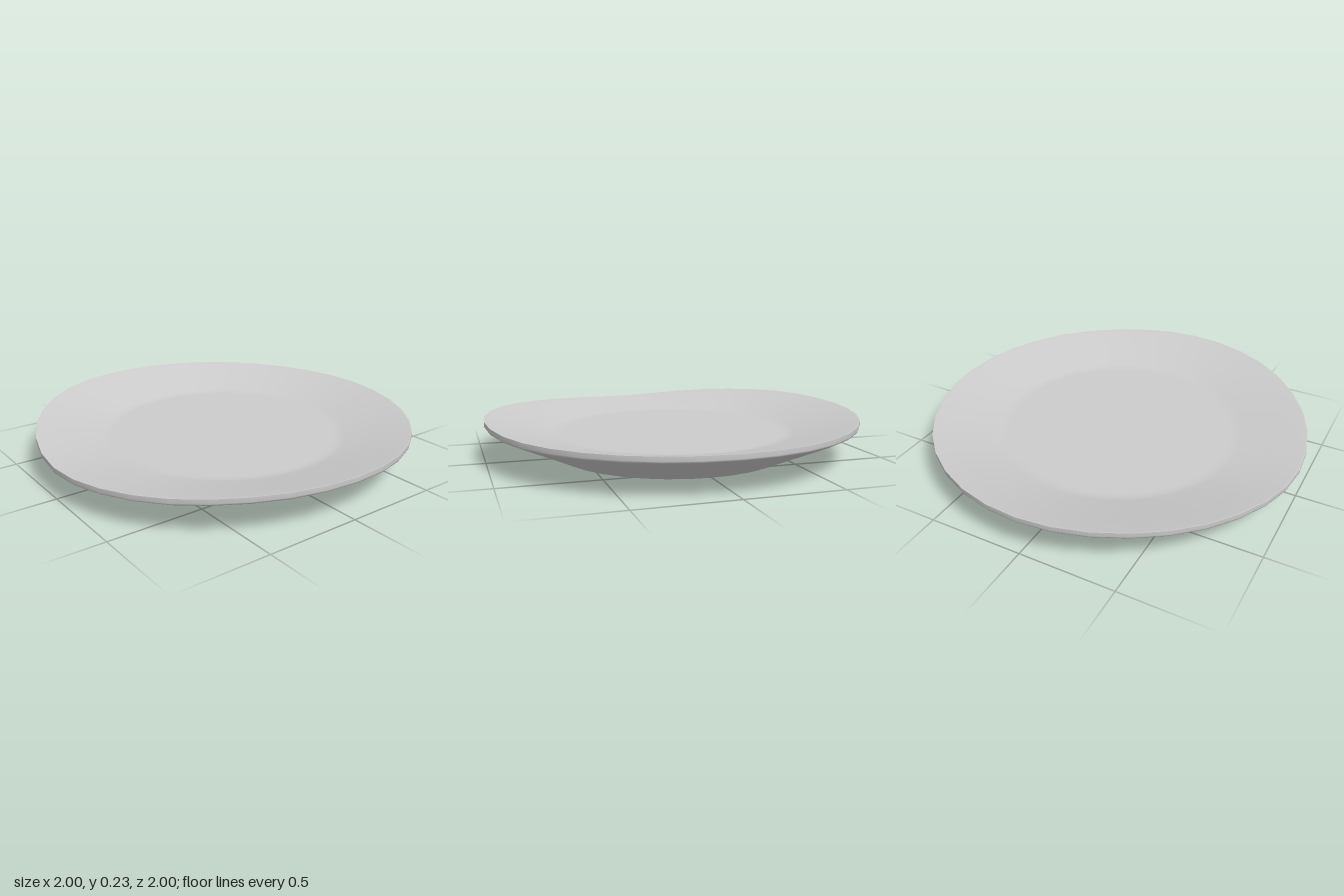
import * as THREE from 'three';
import { mergeVertices } from 'three/addons/utils/BufferGeometryUtils.js';

const SIDES = 36;
const WELL = 0.63;
const RIM = 0.2;

// Uneven rim height every 30 degrees, from +x round towards +z
const HEIGHTS = [0.2, 0.198, 0.2, 0.215, 0.211, 0.184, 0.165, 0.203, 0.226, 0.218, 0.207, 0.2];

// Smooth periodic interpolation of the rim heights
function rimHeight(x, z) {
  const n = HEIGHTS.length;
  const a = ((Math.atan2(z, x) / (2 * Math.PI) + 1) % 1) * n;
  const i = Math.floor(a), t = a - i;
  const [p, q, r, s] = [-1, 0, 1, 2].map((k) => HEIGHTS[(i + k + n) % n]);
  return q + 0.5 * t * (r - p + t * (2 * p - 5 * q + 4 * r - s + t * (3 * (q - r) + s - p)));
}

// Turned surface whose outer part follows the uneven rim
function turned(name, profile) {
  let geo = new THREE.LatheGeometry(profile.map(([r, y]) => new THREE.Vector2(r, y)), SIDES);
  const pos = geo.attributes.position;
  for (let i = 0; i < pos.count; i++) {
    const x = pos.getX(i), z = pos.getZ(i);
    const t = THREE.MathUtils.clamp((Math.hypot(x, z) - WELL) / (1 - WELL), 0, 1);
    if (t > 0) pos.setY(i, pos.getY(i) + t * (rimHeight(x, z) - RIM));
  }
  // Weld the seam so the shading stays smooth all round
  geo.deleteAttribute('normal');
  geo.deleteAttribute('uv');
  geo = mergeVertices(geo, 1e-5);
  geo.computeVertexNormals();
  const mesh = new THREE.Mesh(geo, new THREE.MeshStandardMaterial({ color: 0xcccccc }));
  mesh.name = name;
  return mesh;
}

export function createModel() {
  const plate = new THREE.Group();
  plate.name = 'plate';
  plate.add(
    // Recessed base inside the foot ring
    turned('baseRecess', [[0, 0.02], [0.53, 0.02]]),
    turned('footInnerWall', [[0.53, 0.02], [0.53, 0]]),
    turned('footRing', [[0.53, 0], [0.62, 0]]),
    // Sloping underside running softly into the edge band
    turned('underside', [[0.62, 0], [0.75, 0.058], [0.88, 0.116], [0.985, 0.163], [0.997, 0.17], [1, 0.178], [1, 0.2]]),
    // Sloping rim and flat well
    turned('top', [[1, 0.2], [0.99, 0.2], [0.9, 0.179], [0.78, 0.152], [0.66, 0.125], [0.63, 0.12], [0.6, 0.12], [0, 0.12]]),
  );
  return plate;
}
